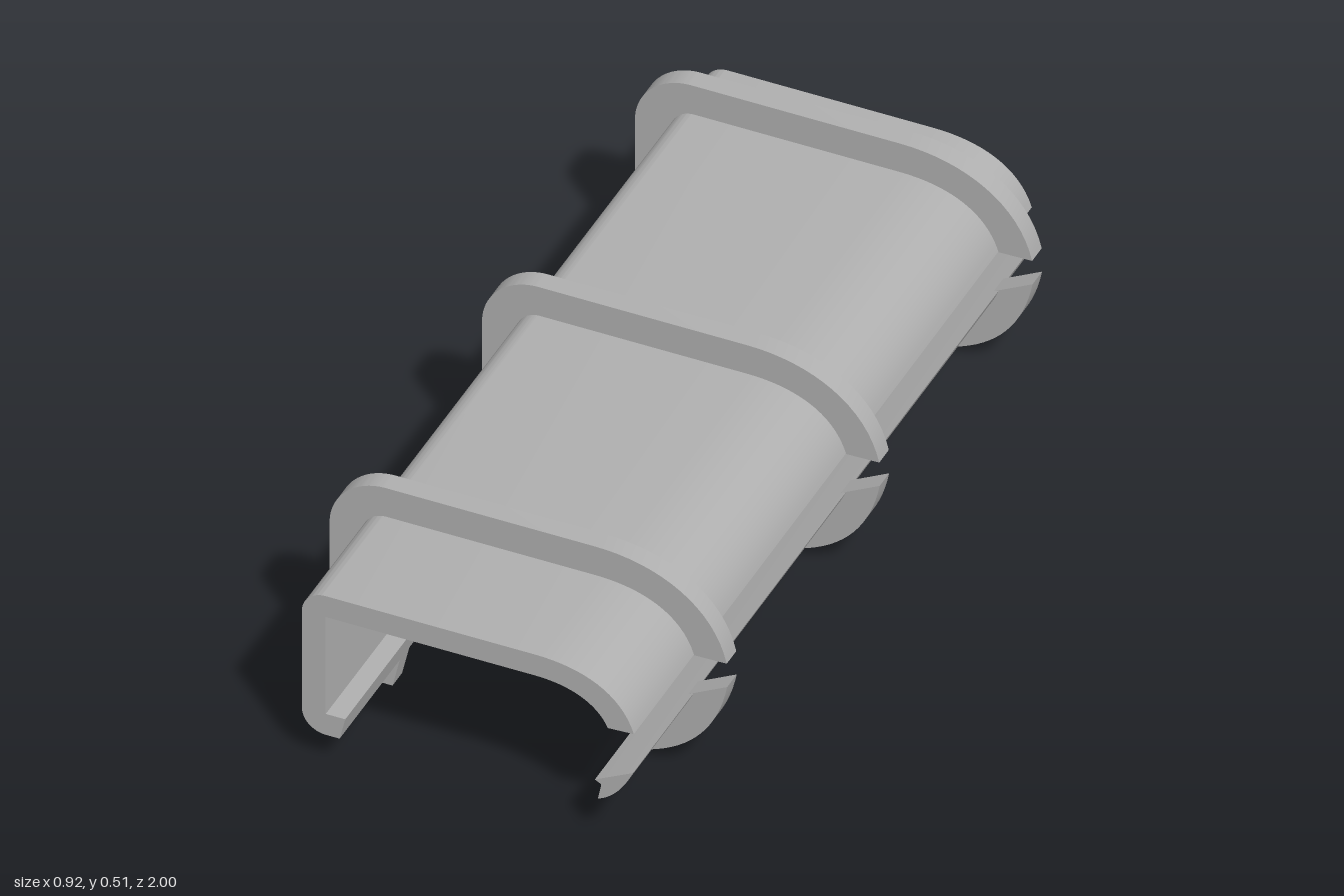
import * as THREE from 'three';
import { toCreasedNormals } from 'three/addons/utils/BufferGeometryUtils.js';

const grey = new THREE.MeshStandardMaterial({ color: 0xb0b0b0, side: THREE.DoubleSide });
grey.name = 'plain grey';

// C-shaped channel section: r is the outer offset from the inner wall
function channelShape(r, c1, c2, end, lipX) {
  const s = new THREE.Shape();
  s.moveTo(-0.285, 0.13);
  s.lineTo(lipX, 0.13 - r);
  s.lineTo(-0.33, 0.13 - r);
  s.absarc(-0.33, 0.13, r, -Math.PI / 2, -Math.PI, true);
  s.lineTo(-0.33 - r, 0.385);
  s.absarc(-0.33, 0.385, r, Math.PI, Math.PI / 2, true);
  s.lineTo(0.15, 0.385 + r);
  s.bezierCurveTo(c1[0], c1[1], c2[0], c2[1], end[0], end[1]);
  s.lineTo(0.32, 0.3);
  s.bezierCurveTo(0.295, 0.355, 0.235, 0.385, 0.15, 0.385);
  s.lineTo(-0.33, 0.385);
  s.lineTo(-0.33, 0.13);
  s.closePath();
  return s;
}

// Detached lower corner section
function cornerShape(top, control, bottom) {
  const s = new THREE.Shape();
  s.moveTo(top[0], top[1]);
  s.lineTo(0.29, 0.155);
  s.lineTo(0.305, 0.147);
  s.lineTo(bottom[0], bottom[1]);
  s.quadraticCurveTo(control[0], control[1], top[0], top[1]);
  return s;
}

// Extrude a section along z, with an optional rule that moves its vertices
function extrude(name, shape, z0, z1, rule) {
  const geo = new THREE.ExtrudeGeometry(shape, { depth: z1 - z0, bevelEnabled: false, curveSegments: 16 });
  geo.translate(0, 0, z0);
  if (rule) {
    const p = geo.attributes.position;
    const v = new THREE.Vector3();
    for (let i = 0; i < p.count; i++) {
      rule(v.fromBufferAttribute(p, i));
      p.setXYZ(i, v.x, v.y, v.z);
    }
  }
  const mesh = new THREE.Mesh(toCreasedNormals(geo, 0.5), grey);
  mesh.name = name;
  return mesh;
}

export function createModel() {
  const model = new THREE.Group();
  model.name = 'ribbedChannel';

  // Long shell, narrowing slightly toward the back
  const shell = channelShape(0.055, [0.26, 0.44], [0.35, 0.4], [0.38, 0.303], -0.298);
  model.add(extrude('shell', shell, -1, 1, (v) => {
    v.x *= 1 - (v.x < 0 ? 0.01 : 0.004) * (1 - v.z);
  }));

  // Lower corner strip, its underside rising toward the back
  const strip = cornerShape([0.378, 0.2], [0.345, 0.125], [0.297, 0.107]);
  model.add(extrude('lowerStrip', strip, -1, 1, (v) => {
    const t = (1 - v.z) / 2;
    const low = THREE.MathUtils.clamp((0.2 - v.y) / 0.093, 0, 1);
    v.y += 0.023 * t * low;
    v.x += 0.018 * t * low;
  }));

  // Three ribs, each with its separate lower piece
  const rib = channelShape(0.13, [0.3, 0.515], [0.425, 0.44], [0.455, 0.303], -0.315);
  const lowerRib = cornerShape([0.456, 0.242], [0.425, 0.07], [0.275, 0.02]);
  for (const z of [0.674, -0.09, -0.856]) {
    model.add(extrude('rib', rib, z - 0.024, z + 0.024));
    model.add(extrude('lowerRib', lowerRib, z - 0.024, z + 0.024));
  }
  return model;
}
